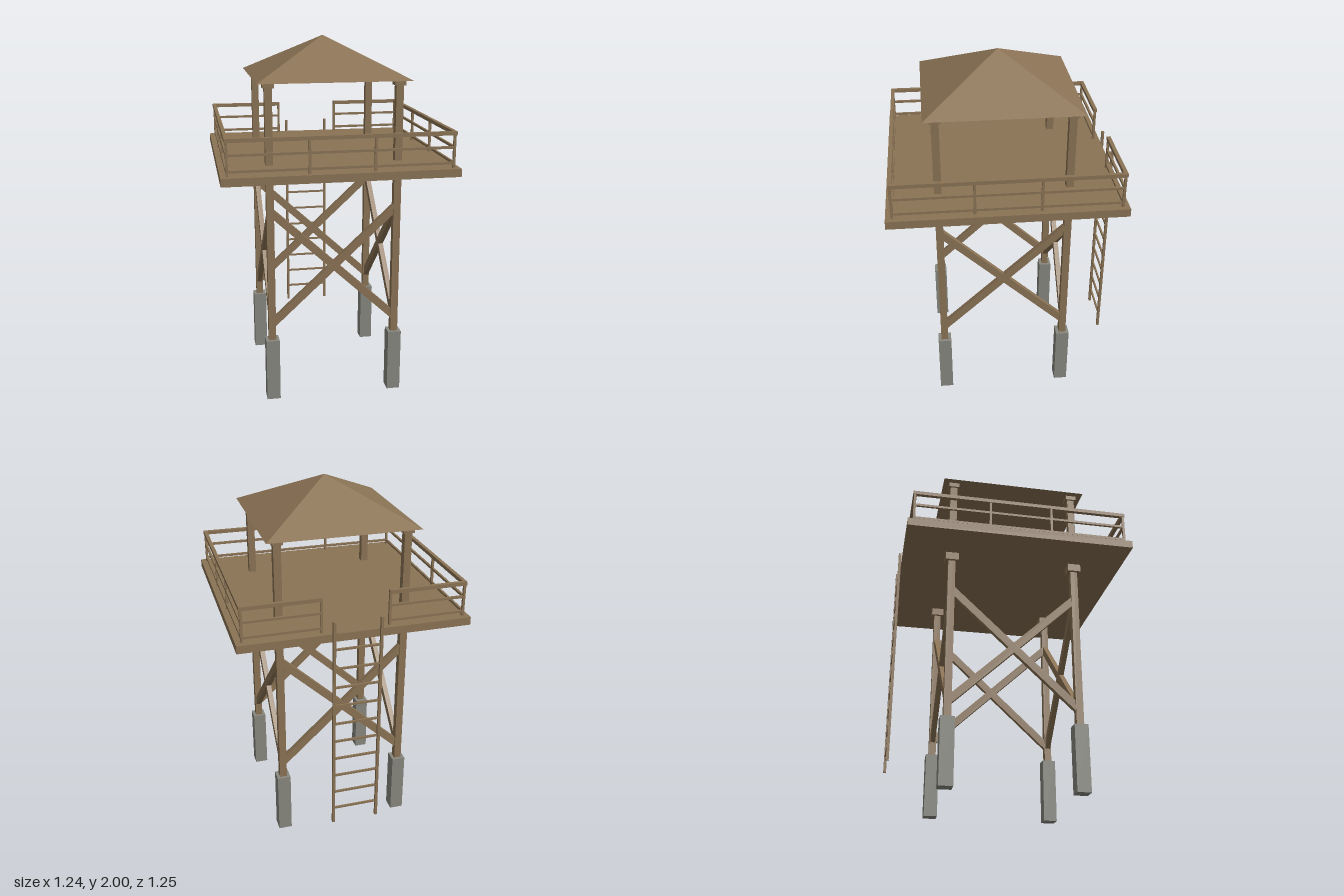
import * as THREE from 'three';

export function createModel() {
  const wood = new THREE.MeshStandardMaterial({ color: 0x8b7355 });
  wood.name = 'wood';
  const concrete = new THREE.MeshStandardMaterial({ color: 0x888880 });
  concrete.name = 'concrete';

  const model = new THREE.Group();
  model.name = 'watchtower';
  // The ladder overhangs the back, so the tower sits slightly forward
  const tower = new THREE.Group();
  tower.name = 'tower';
  tower.position.z = 0.006;
  model.add(tower);

  function box(parent, name, size, pos, mat = wood) {
    const mesh = new THREE.Mesh(new THREE.BoxGeometry(...size), mat);
    mesh.name = name;
    mesh.position.set(...pos);
    parent.add(mesh);
    return mesh;
  }

  // Four legs with footings and bearing blocks
  const leg = 0.349;
  for (const sx of [-1, 1]) {
    for (const sz of [-1, 1]) {
      const x = sx * leg, z = sz * leg;
      box(tower, 'footing', [0.075, 0.358, 0.075], [x, 0.179, z], concrete);
      box(tower, 'post', [0.04, 1.43, 0.04], [x, 1.07, z]);
      box(tower, 'deckBlock', [0.072, 0.043, 0.072], [x, 1.291, z]);
      box(tower, 'roofBlock', [0.06, 0.027, 0.06], [x, 1.773, z]);
    }
  }

  // Crossed braces on each of the four sides
  const slope = Math.atan2(0.615, 0.658);
  for (let side = 0; side < 4; side++) {
    const frame = new THREE.Group();
    frame.name = 'crossBrace';
    frame.rotation.y = side * Math.PI / 2;
    for (const s of [-1, 1]) {
      box(frame, 'brace', [0.69 / Math.cos(slope), 0.042, 0.028], [0, 0.773, leg]).rotation.z = s * slope;
    }
    tower.add(frame);
  }

  // Deck
  box(tower, 'deck', [1.236, 0.043, 1.236], [0, 1.334, 0]);

  // Railings: one run from a to b along the local x axis, with posts at the given places
  const edge = 0.584;
  function railRun(parent, a, b, posts) {
    const mid = (a + b) / 2, len = b - a;
    box(parent, 'topRail', [len + 0.02, 0.02, 0.02], [mid, 1.537, edge]);
    for (const y of [1.463, 1.381]) {
      box(parent, 'lowerRail', [len, 0.013, 0.012], [mid, y, edge]);
    }
    for (const x of posts) box(parent, 'railPost', [0.013, 0.18, 0.013], [x, 1.442, edge]);
  }
  for (let side = 0; side < 4; side++) {
    const railing = new THREE.Group();
    railing.name = 'railing';
    railing.rotation.y = side * Math.PI / 2;
    if (side === 2) {
      // Gap for the ladder at the back
      railRun(railing, -edge, -0.185, [-edge, -0.18]);
      railRun(railing, 0.185, edge, [0.18, edge]);
    } else {
      railRun(railing, -edge, edge, [-edge, -0.17, 0.17, edge]);
    }
    tower.add(railing);
  }

  // Pyramid roof
  const roofGeo = new THREE.ConeGeometry(0.412 * Math.SQRT2, 0.215, 4, 1).toNonIndexed();
  roofGeo.rotateY(Math.PI / 4);
  roofGeo.computeVertexNormals();
  const roof = new THREE.Mesh(roofGeo, wood);
  roof.name = 'roof';
  roof.position.y = 1.8925;
  tower.add(roof);

  // Ladder at the back
  const ladder = new THREE.Group();
  ladder.name = 'ladder';
  ladder.position.z = -0.62;
  for (const s of [-1, 1]) box(ladder, 'ladderRail', [0.015, 1.24, 0.015], [s * 0.125, 0.805, 0]);
  for (let i = 0; i < 10; i++) {
    box(ladder, 'rung', [0.245, 0.011, 0.01], [0, 0.281 + i * 0.11, 0]);
  }
  model.add(ladder);

  return model;
}
